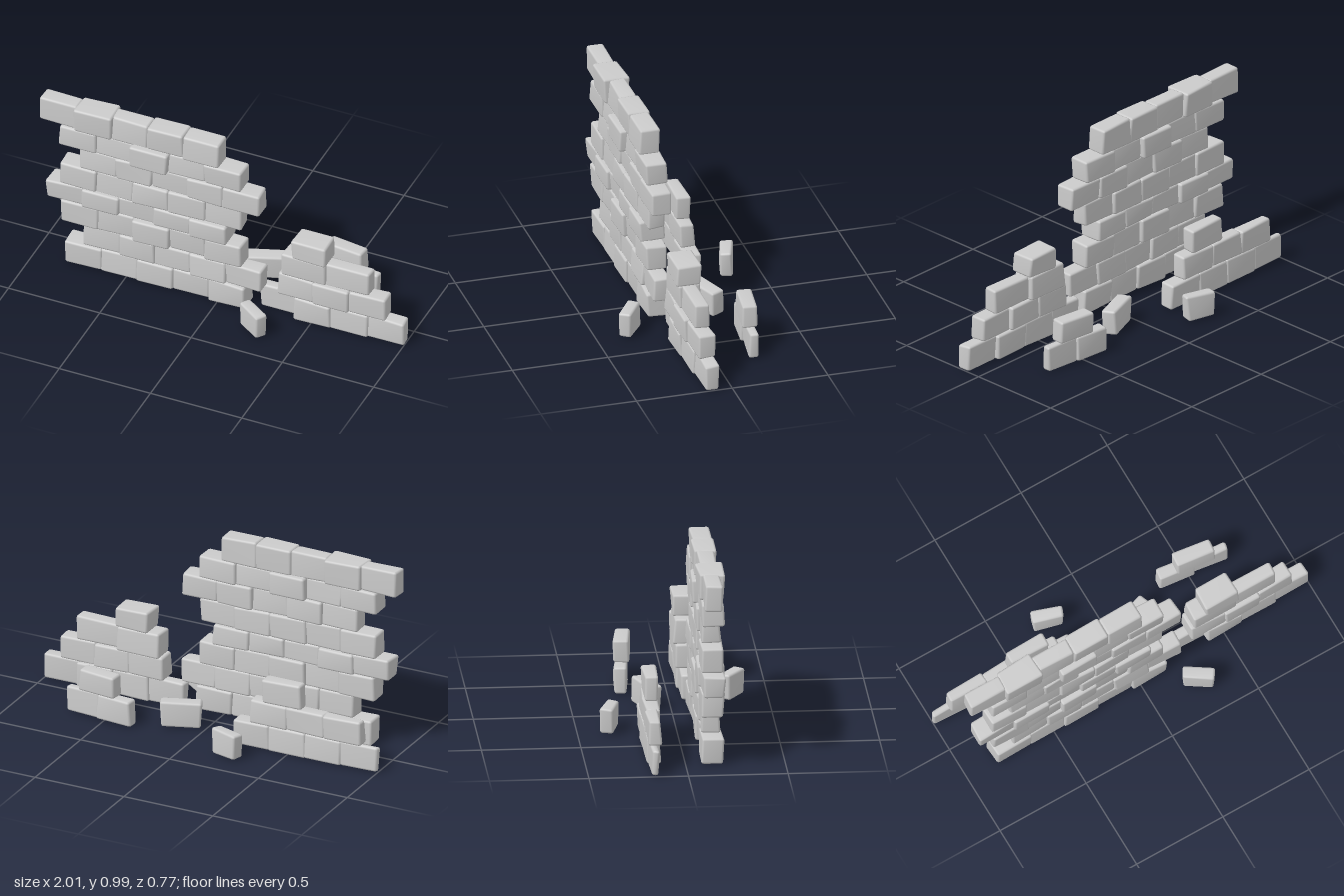
import * as THREE from 'three';
import { mergeVertices } from 'three/addons/utils/BufferGeometryUtils.js';
import { RoundedBoxGeometry } from 'three/addons/geometries/RoundedBoxGeometry.js';

const material = new THREE.MeshStandardMaterial({ color: 0xcccccc });

// Small seeded generator, returns -1..1
let seed = 7;
const rand = () => {
  seed = (seed * 16807) % 2147483647;
  return (seed / 2147483647) * 2 - 1;
};

// One worn brick: a bevelled box whose eight corners are shifted a little, shaded smoothly
function brick(name, w, h, d, bottomScale = 1) {
  let geo = new RoundedBoxGeometry(w, h, d, 1, 0.012);
  geo.deleteAttribute('normal');
  geo.deleteAttribute('uv');
  geo = mergeVertices(geo, 1e-4);
  const shift = Array.from({ length: 8 }, () => [rand() * 0.004, rand() * 0.003, rand() * 0.006]);
  const p = geo.attributes.position;
  for (let i = 0; i < p.count; i++) {
    const x = p.getX(i), y = p.getY(i), z = p.getZ(i);
    const s = shift[(x > 0 ? 1 : 0) + (y > 0 ? 2 : 0) + (z > 0 ? 4 : 0)];
    const k = y < 0 ? bottomScale : 1;
    p.setXYZ(i, x * k + s[0], y + s[1], z * k + s[2]);
  }
  geo.computeVertexNormals();
  const mesh = new THREE.Mesh(geo, material);
  mesh.name = name;
  return mesh;
}

// A course of bricks from x0 to x1; each depth entry is [back z, front z] of one brick
function course(name, y0, y1, x0, x1, depths) {
  const group = new THREE.Group();
  group.name = name;
  const w = (x1 - x0) / depths.length;
  depths.forEach(([back, front], i) => {
    const b = brick('brick', w + 0.006, y1 - y0 + 0.004, front - back);
    b.position.set(x0 + w * (i + 0.5), (y0 + y1) / 2, (back + front) / 2);
    group.add(b);
  });
  return group;
}

function wall(name, courses) {
  const group = new THREE.Group();
  group.name = name;
  courses.forEach((c, i) => group.add(course('course' + (i + 1), ...c)));
  return group;
}

export function createModel() {
  const model = new THREE.Group();
  model.name = 'ruinedBrickWall';

  // Depth choices for the bricks
  const T = [0.09, 0.18], M = [0.08, 0.19], F = [0.07, 0.2], X = [0.065, 0.212];

  // Tall wall with staggered ends
  model.add(wall('tallWall', [
    [0.005, 0.135, -0.83, 0.15, [M, T, M, T, M]],
    [0.135, 0.258, -0.73, 0.24, [T, M, T, M, T]],
    [0.258, 0.385, -0.85, 0.13, [M, T, F, T, M]],
    [0.385, 0.49, -0.93, 0.05, [M, F, T, M, F]],
    [0.49, 0.615, -0.86, 0.13, [M, T, M, M, T]],
    [0.615, 0.735, -0.75, 0.23, [T, M, T, M, [0.086, 0.194]]],
    [0.735, 0.85, -0.86, 0.13, [M, T, X, T, M]],
    [0.85, 0.983, -0.97, 0.01, [T, F, T, M, M]],
  ]));

  // Stepped pile beside the tall wall
  model.add(wall('rightPile', [
    [0.005, 0.135, 0.21, 1.0, [[0.06, 0.12], [0.05, 0.16], [0.05, 0.15], [0.065, 0.14]]],
    [0.135, 0.258, 0.32, 0.9, [[0.04, 0.15], [0.05, 0.16], [0.06, 0.145]]],
    [0.258, 0.385, 0.34, 0.81, [[0.035, 0.15], [0.06, 0.14]]],
    [0.385, 0.49, 0.4, 0.58, [[0.035, 0.162]]],
  ]));

  // Low wall behind the tall wall
  model.add(wall('rearLeftWall', [
    [0.005, 0.135, -1.0, -0.2, [[-0.185, -0.145], [-0.19, -0.125], [-0.195, -0.12], [-0.195, -0.11]]],
    [0.135, 0.258, -0.91, -0.29, [[-0.195, -0.13], [-0.19, -0.12], [-0.19, -0.115]]],
    [0.258, 0.382, -0.57, -0.36, [[-0.188, -0.115]]],
  ]));

  // Short stub behind the pile, slightly turned
  const stub = wall('rearRightStub', [
    [0.005, 0.135, -0.185, 0.19, [[-0.036, 0.036], [-0.024, 0.024]]],
    [0.135, 0.25, -0.09, 0.11, [[-0.038, 0.04]]],
  ]);
  stub.position.set(0.53, 0, -0.215);
  stub.rotation.y = -0.1;
  model.add(stub);

  // Loose bricks on the ground: x, z, length, thickness, turn
  [
    [-0.24, -0.335, 0.165, 0.066, -0.27],
    [0.13, -0.12, 0.215, 0.08, 0.38],
    [0.26, 0.315, 0.16, 0.066, -0.6],
  ].forEach(([x, z, w, d, turn]) => {
    const b = brick('looseBrick', w, 0.132, d, 0.93);
    b.position.set(x, 0.072, z);
    b.rotation.y = turn;
    model.add(b);
  });

  return model;
}
